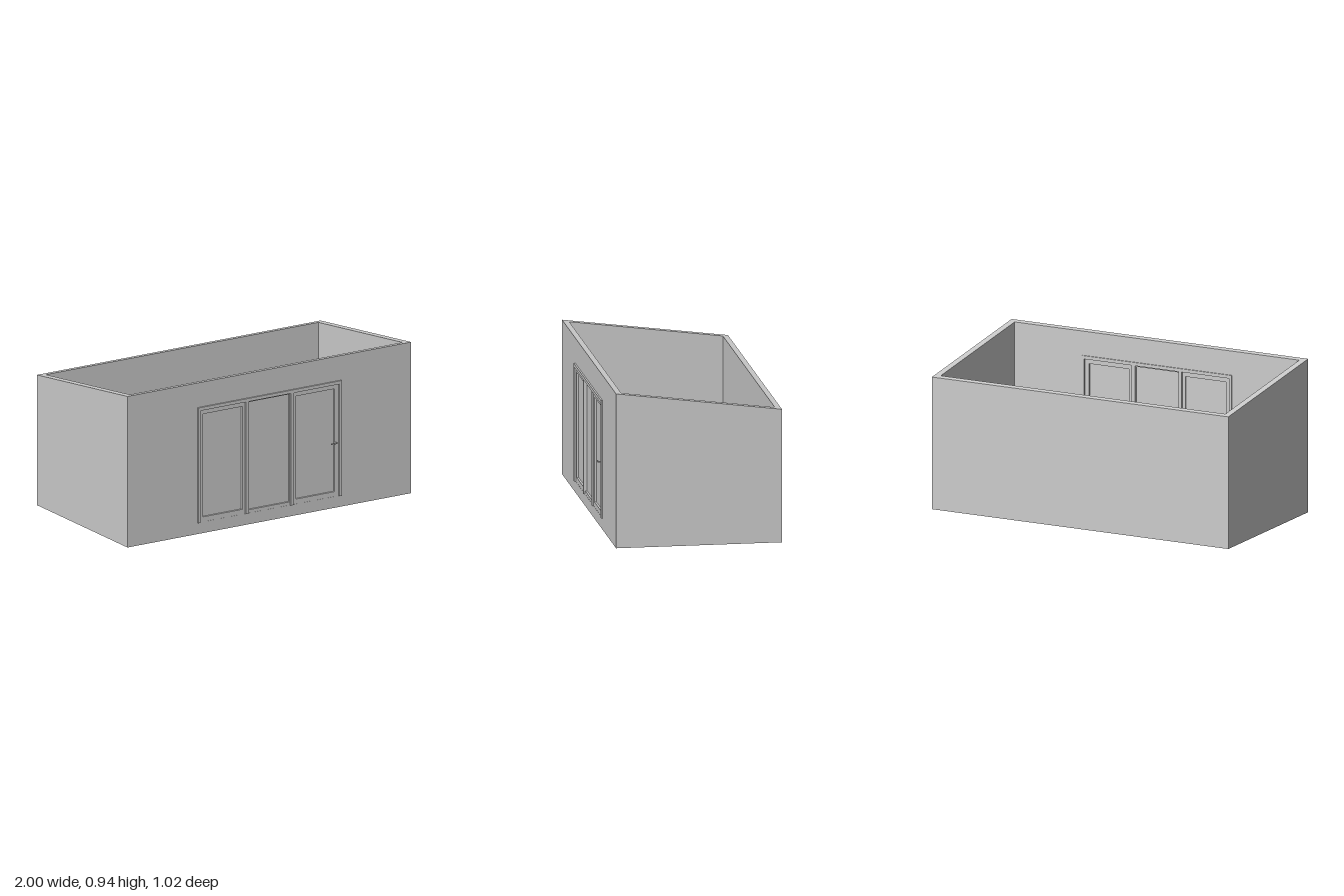
import * as THREE from 'three';

const FRONT = 0.487, BACK = -0.511, WALL = 0.037;
const topAt = z => 0.94 - 0.13 * (FRONT - z) / (FRONT - BACK);
const material = new THREE.MeshStandardMaterial({ color: 0xcccccc, flatShading: true });

function add(group, name, geometry) {
  const mesh = new THREE.Mesh(geometry, material);
  mesh.name = name;
  group.add(mesh);
  return mesh;
}

// Box given by its two extreme corners
function box(group, name, x0, x1, y0, y1, z0, z1) {
  const mesh = add(group, name, new THREE.BoxGeometry(x1 - x0, y1 - y0, z1 - z0));
  mesh.position.set((x0 + x1) / 2, (y0 + y1) / 2, (z0 + z1) / 2);
  return mesh;
}

function trace(path, [x0, x1, y0, y1]) {
  path.moveTo(x0, y0).lineTo(x1, y0).lineTo(x1, y1).lineTo(x0, y1).closePath();
  return path;
}

// Upright rectangular plate with an optional rectangular opening
function plate(outer, opening, z0, z1) {
  const shape = trace(new THREE.Shape(), outer);
  if (opening) shape.holes.push(trace(new THREE.Path(), opening));
  return new THREE.ExtrudeGeometry(shape, { depth: z1 - z0, bevelEnabled: false }).translate(0, 0, z0);
}

// Bring the top corners of a wall down to the roof slope
function slopeTop(geometry) {
  const p = geometry.attributes.position;
  for (let i = 0; i < p.count; i++) if (p.getY(i) > 0.9) p.setY(i, topAt(p.getZ(i)));
  geometry.computeVertexNormals();
  return geometry;
}

function createShell() {
  const shell = new THREE.Group();
  shell.name = 'shell';
  const doorway = [-0.507, 0.505, 0.07, 0.787];
  add(shell, 'frontWall', slopeTop(plate([-1, 1, 0, 1], doorway, FRONT - WALL, FRONT)));
  add(shell, 'backWall', slopeTop(plate([-1, 1, 0, 1], null, BACK, BACK + WALL)));
  for (const [name, x0, x1] of [['leftWall', 0.96, 1], ['rightWall', -1, -0.96]]) {
    add(shell, name, slopeTop(plate([x0, x1, 0, 1], null, BACK + WALL, FRONT - WALL)));
  }
  box(shell, 'floor', -0.96, 0.96, 0.025, 0.07, BACK + WALL, FRONT - WALL);
  return shell;
}

function createDoors() {
  const doors = new THREE.Group();
  doors.name = 'doorSet';

  // Jambs, mullions and head stand slightly proud of both wall faces
  const z0 = 0.443, z1 = 0.497;
  for (const [name, a, b] of [['jamb', -0.507, -0.49], ['mullion', -0.17, -0.15],
    ['mullion', 0.145, 0.167], ['jamb', 0.488, 0.505]]) {
    box(doors, name, a, b, 0.07, 0.767, z0, z1);
  }
  box(doors, 'head', -0.507, 0.505, 0.767, 0.787, z0, z1);

  // Framed panes: two door leaves around a fixed light
  for (const [name, outer, pane] of [
    ['rightLeaf', [-0.49, -0.17, 0.07, 0.767], [-0.465, -0.19, 0.1, 0.74]],
    ['fixedLight', [-0.15, 0.145, 0.07, 0.767], [-0.149, 0.144, 0.09, 0.76]],
    ['leftLeaf', [0.167, 0.488, 0.07, 0.767], [0.19, 0.46, 0.1, 0.74]],
  ]) {
    add(doors, name, plate(outer, pane, 0.452, 0.486));
    box(doors, name + 'Pane', ...pane, 0.464, 0.474);
  }

  // Lever handle on both faces of the left leaf
  for (const [face, tip] of [[0.486, 0.509], [0.452, 0.427]]) {
    const s = Math.sign(tip - face);
    box(doors, 'handleStem', 0.461, 0.468, 0.402, 0.409, Math.min(face, tip), Math.max(face, tip));
    box(doors, 'handleLever', 0.425, 0.461, 0.402, 0.409, ...[tip, tip - s * 0.006].sort());
  }

  // Upright handle inside the right leaf
  box(doors, 'innerHandleStem', -0.191, -0.184, 0.402, 0.409, 0.433, 0.452);
  box(doors, 'innerHandleLever', -0.191, -0.184, 0.37, 0.409, 0.427, 0.433);
  return doors;
}

export function createModel() {
  const model = new THREE.Group();
  model.name = 'slopedRoom';
  model.add(createShell(), createDoors());
  return model;
}
